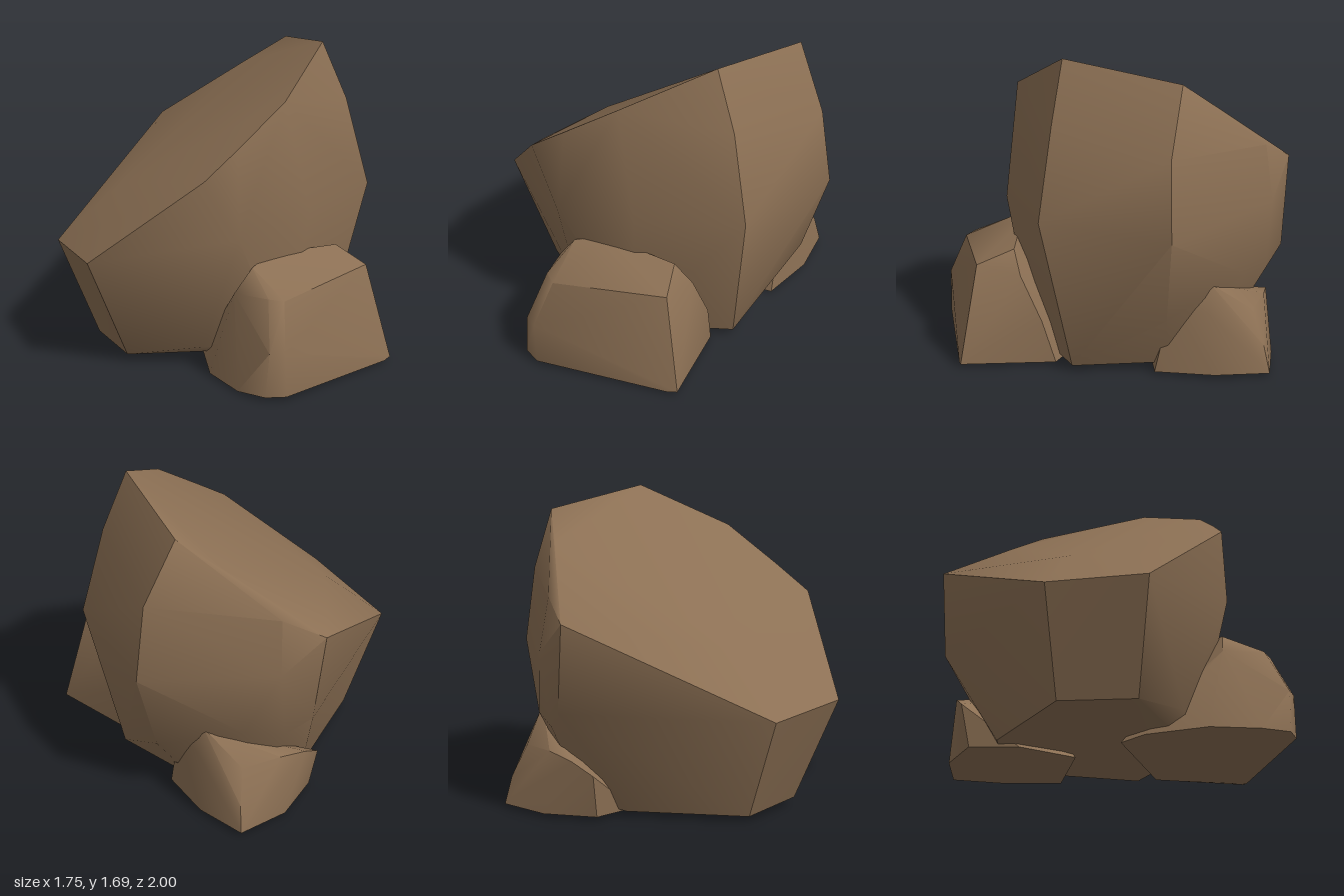
import * as THREE from 'three';
import { ConvexGeometry } from 'three/addons/geometries/ConvexGeometry.js';
import { toCreasedNormals } from 'three/addons/utils/BufferGeometryUtils.js';

const stone = new THREE.MeshStandardMaterial({ color: 0x8c7054 });
stone.name = 'brownStone';

// A chiselled boulder spanning its corner points, softly shaded over shallow edges
function boulder(name, corners) {
  const hull = new ConvexGeometry(corners.map((c) => new THREE.Vector3(...c)));
  const mesh = new THREE.Mesh(toCreasedNormals(hull, 0.8), stone);
  mesh.name = name;
  return mesh;
}

export function createModel() {
  const group = new THREE.Group();
  group.name = 'rockCluster';

  // Large boulder with a sloping flat top
  group.add(boulder('mainBoulder', [
    // rim of the sloping top
    [-0.88, 0.59, -0.07], [-0.77, 0.62, 0.45], [-0.62, 0.8, 0.32], [-0.19, 1.11, 0.71],
    [0.0, 1.25, 0.63], [0.28, 1.46, 0.49], [0.58, 1.69, 0.08], [0.52, 1.6, -0.56],
    [0.3, 1.44, -0.67], [0.06, 1.2, -0.86], [-0.16, 1.09, -0.92], [-0.52, 0.91, -0.05],
    // widest belt
    [0.72, 1.37, 0.08], [0.85, 0.88, 0.1], [0.76, 0.83, -0.6], [0.7, 1.25, -0.57],
    [0.42, 0.85, 0.5], [0.0, 0.78, 0.69], [0.08, 0.9, -0.91], [-0.1, 0.6, -0.91],
    [0.25, 0.53, -0.82], [0.04, 0.5, -0.87], [0.64, 0.36, -0.53],
    // base
    [-0.66, 0.03, -0.07], [-0.55, 0.04, 0.33], [-0.15, 0.11, 0.47], [0.3, 0.05, 0.42],
    [0.67, 0.03, 0.0], [0.42, 0.03, -0.46], [0.1, 0.03, -0.62], [-0.2, 0.03, -0.55],
  ]));

  // Blocky stone leaning on the front
  group.add(boulder('frontStone', [
    [-0.14, 0.01, 0.6], [-0.04, 0.01, 0.86], [0.08, 0.02, 0.99], [0.19, 0.02, 1.0],
    [0.83, 0.01, 0.6], [0.87, 0.02, 0.57], [0.62, 0.01, 0.12], [-0.06, 0.0, 0.1],
    [-0.12, 0.01, 0.25],
    [0.1, 0.26, 0.99], [0.18, 0.26, 1.0], [-0.02, 0.48, 0.66],
    [0.2, 0.5, 0.88], [0.12, 0.51, 0.86], [0.73, 0.55, 0.53], [0.08, 0.61, 0.64],
    [0.2, 0.64, 0.52], [0.6, 0.62, 0.37], [0.67, 0.5, 0.3], [0.66, 0.25, 0.18],
  ]));

  // Low stone tucked under the back
  group.add(boulder('backStone', [
    [0.33, 0.02, -1.0], [0.47, 0.02, -0.74], [0.53, 0.01, -0.42], [0.1, 0.0, -0.2],
    [-0.12, 0.01, -0.45], [-0.17, 0.02, -0.72], [0.05, 0.02, -0.92],
    [0.32, 0.17, -0.96], [0.28, 0.35, -0.88], [0.46, 0.36, -0.7],
    [-0.2, 0.26, -0.76], [-0.1, 0.33, -0.83], [0.06, 0.36, -0.87],
    [0.43, 0.52, -0.69], [0.5, 0.4, -0.5],
  ]));
  return group;
}
